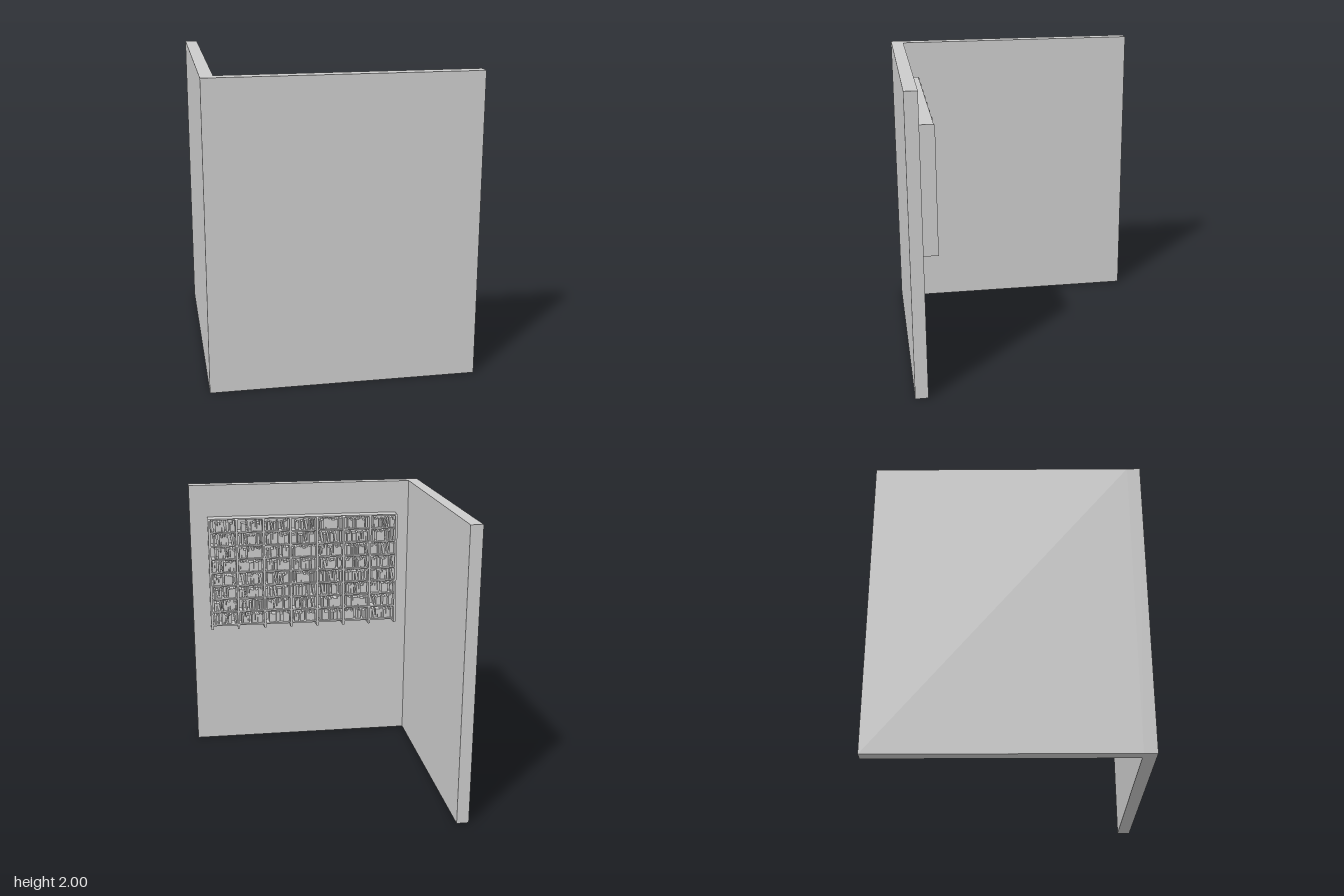
import * as THREE from 'three';
import { mergeGeometries } from 'three/addons/utils/BufferGeometryUtils.js';

const material = new THREE.MeshStandardMaterial({ color: 0xcccccc, flatShading: true });

// Box geometry given by its lower and upper limits on each axis
function span(x0, x1, y0, y1, z0, z1) {
  return new THREE.BoxGeometry(x1 - x0, y1 - y0, z1 - z0)
    .translate((x0 + x1) / 2, (y0 + y1) / 2, (z0 + z1) / 2);
}

function part(name, geometry) {
  const mesh = new THREE.Mesh(geometry, material);
  mesh.name = name;
  return mesh;
}

// Small seeded generator for the variety of the books
function seeded(seed) {
  return (lo, hi) => {
    seed = (seed * 16807) % 2147483647;
    return lo + (hi - lo) * (seed / 2147483647);
  };
}

const WALL_Z = 0.79;              // inner face of the front wall
const LEFT = -0.683, RIGHT = 0.735;
const BOTTOM = 0.92, TOP = 1.765;
const COLUMNS = 7, ROWS = 8;
const POST = 0.016, BOARD = 0.01;
const FRONT = 0.695;              // open edge of the shelves
const FIRST = BOTTOM + 0.025;     // underside of the lowest shelf
const pitchX = (RIGHT - LEFT - POST) / COLUMNS;
const pitchY = (TOP - BOARD - FIRST) / ROWS;

// Upright panel with a clipped top corner, standing slightly proud of the shelves
function uprightGeometry(x) {
  const s = new THREE.Shape();
  s.moveTo(-WALL_Z, BOTTOM);
  s.lineTo(-0.688, BOTTOM);
  s.lineTo(-0.688, TOP - 0.01);
  s.lineTo(-0.695, TOP);
  s.lineTo(-WALL_Z, TOP);
  return new THREE.ExtrudeGeometry(s, { depth: POST, bevelEnabled: false })
    .rotateY(Math.PI / 2).translate(x, 0, 0);
}

// One row of upright books with gaps, now and then a leaning one
function fillCell(books, x0, x1, y, rand) {
  let x = x0 + rand(0.001, 0.008);
  while (true) {
    const w = rand(0.009, 0.02);
    const h = rand(0.055, 0.084);
    const lean = rand(0, 1) < 0.1 ? 0.16 : 0;
    const room = w + h * Math.sin(lean);
    if (x + room > x1 - 0.001) break;
    const depth = rand(0.055, 0.072);
    const book = new THREE.BoxGeometry(w, h, depth).translate(w / 2, h / 2, 0);
    book.rotateZ(-lean).translate(x, y + w * Math.sin(lean), WALL_Z - 0.008 - depth / 2);
    books.push(book);
    x += room + (rand(0, 1) < 0.2 ? rand(0.006, 0.018) : 0.001);
  }
}

function createBookcase() {
  const bookcase = new THREE.Group();
  bookcase.name = 'bookcase';

  for (let i = 0; i <= COLUMNS; i++) {
    bookcase.add(part('upright', uprightGeometry(LEFT + i * pitchX)));
  }

  const rand = seeded(4711);
  const books = [];
  for (let c = 0; c < COLUMNS; c++) {
    const x0 = LEFT + c * pitchX + POST;
    const x1 = LEFT + (c + 1) * pitchX;
    for (let r = 0; r <= ROWS; r++) {
      const y = FIRST + r * pitchY;
      bookcase.add(part(r === ROWS ? 'topBoard' : 'shelf', span(x0, x1, y, y + BOARD, FRONT, WALL_Z)));
      if (r < ROWS) fillCell(books, x0, x1, y + BOARD, rand);
    }
  }
  bookcase.add(part('books', mergeGeometries(books)));
  return bookcase;
}

export function createModel() {
  const model = new THREE.Group();
  model.name = 'libraryCorner';

  // Two walls meeting in an L
  model.add(part('frontWall', span(-0.865, 0.865, 0, 2, WALL_Z, 0.875)));
  model.add(part('sideWall', span(-0.865, -0.783, 0, 2, -0.875, WALL_Z)));

  model.add(createBookcase());
  return model;
}
